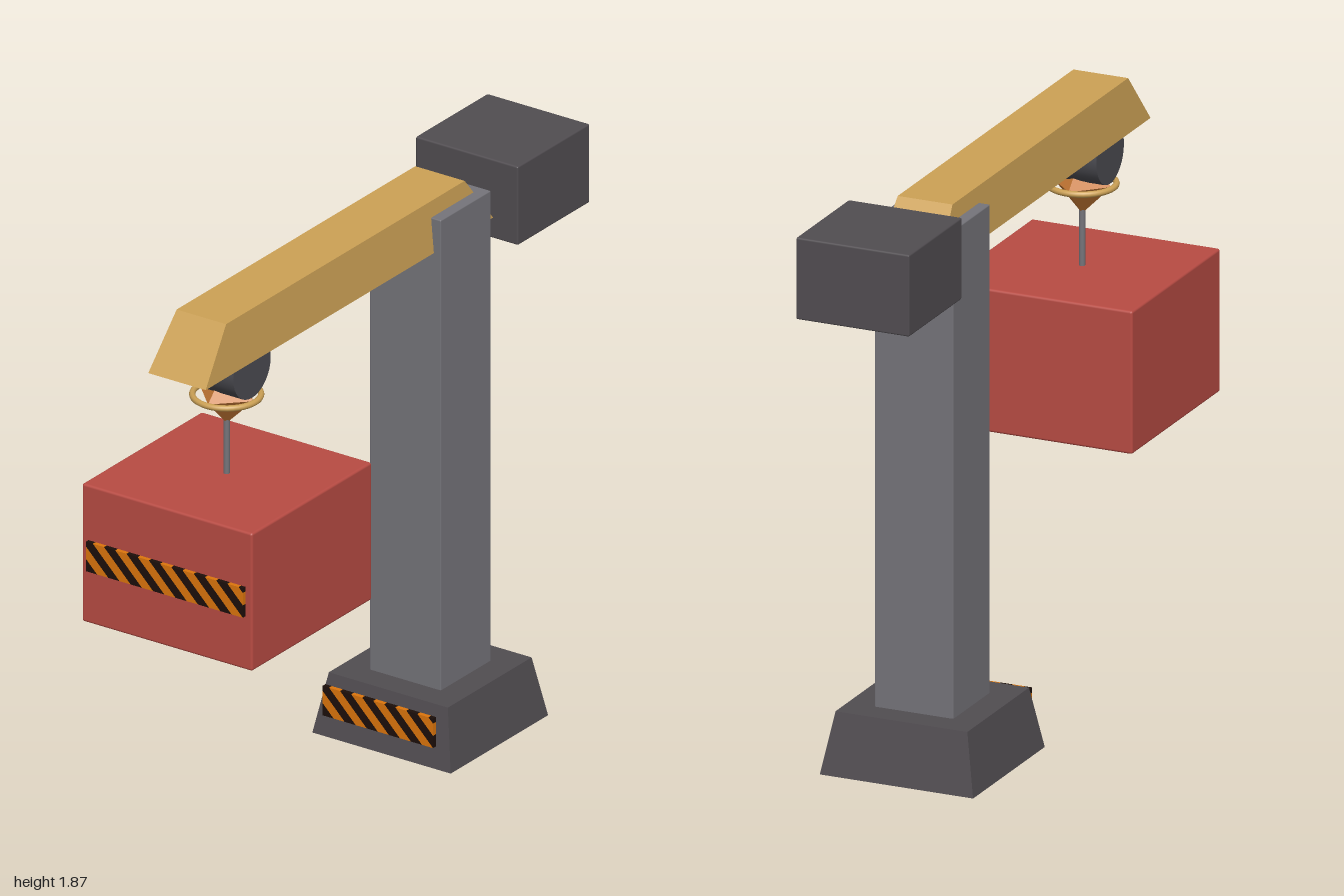
import * as THREE from 'three';
import { RoundedBoxGeometry } from 'three/addons/geometries/RoundedBoxGeometry.js';

const paint = (name, color) => {
  const m = new THREE.MeshStandardMaterial({ color });
  m.name = name;
  return m;
};

// Keeps the part of a polygon where f(point) >= 0
function clip(points, f) {
  const out = [];
  points.forEach((p, i) => {
    const q = points[(i + 1) % points.length];
    const a = f(p), b = f(q);
    if (a >= 0) out.push(p);
    if ((a > 0 && b < 0) || (a < 0 && b > 0)) out.push(p.clone().lerp(q, a / (a - b)));
  });
  return out;
}

// Box whose top is scaled in x and z, standing on y = 0
function taperedBox(w, h, d, topX, topZ) {
  const g = new THREE.BoxGeometry(w, h, d).translate(0, h / 2, 0);
  const p = g.attributes.position;
  for (let i = 0; i < p.count; i++) {
    if (p.getY(i) > h / 2) {
      p.setX(i, p.getX(i) * topX);
      p.setZ(i, p.getZ(i) * topZ);
    }
  }
  g.computeVertexNormals();
  return g;
}

export function createModel() {
  const model = new THREE.Group();
  model.name = 'craneWithLoad';

  const darkMetal = paint('darkMetal', 0x514d51);
  const greyMetal = paint('greyMetal', 0x75747a);
  const boomYellow = paint('boomYellow', 0xcca155);
  const loadRed = paint('loadRed', 0xb84b43);
  const hookOrange = paint('hookOrange', 0xc87a35);
  const wheelGrey = paint('wheelGrey', 0x4b4b51);
  const hazardOrange = paint('hazardOrange', 0xdc750c);
  const hazardBlack = paint('hazardBlack', 0x1c0f0a);

  const add = (name, geometry, material, x, y, z, parent = model) => {
    const mesh = new THREE.Mesh(geometry, material);
    mesh.name = name;
    mesh.position.set(x, y, z);
    parent.add(mesh);
    return mesh;
  };

  // Plate made of alternating slanted stripes
  const hazardPlate = (name, width, height, count, y, z) => {
    const plate = new THREE.Group();
    plate.name = name;
    plate.position.set(-width / 2, y, z);
    model.add(plate);
    const step = width / count / 2;
    const rect = [[0, 0], [width, 0], [width, height], [0, height]].map(([a, b]) => new THREE.Vector2(a, b));
    for (let i = 0; i * step < width + height; i++) {
      const along = (p) => p.x + p.y;
      let poly = clip(rect, (p) => along(p) - i * step);
      poly = clip(poly, (p) => (i + 1) * step - along(p));
      if (poly.length < 3) continue;
      const g = new THREE.ExtrudeGeometry(new THREE.Shape(poly), { depth: 0.015, bevelEnabled: false });
      add('stripe', g, i % 2 ? hazardOrange : hazardBlack, 0, 0, 0, plate);
    }
  };

  // Foot and mast
  add('base', taperedBox(0.52, 0.2, 0.52, 0.86, 0.86), darkMetal, 0, 0, -0.42);
  add('mast', new RoundedBoxGeometry(0.268, 1.61, 0.268, 1, 0.004), greyMetal, 0, 0.988, -0.42);
  hazardPlate('baseHazardPlate', 0.415, 0.1, 5, 0.08, -0.155);

  // Boom and counterweight
  add('boom', taperedBox(0.216, 0.17, 1.535, 0.86, 0.83), boomYellow, 0, 1.676, 0.165);
  add('counterweight', new RoundedBoxGeometry(0.385, 0.267, 0.385, 1, 0.006), darkMetal, 0, 1.732, -0.807);

  // Trolley wheel, hook block and cable
  const hookZ = 0.667;
  add('trolleyWheel', new THREE.CylinderGeometry(0.1, 0.1, 0.19, 32).rotateZ(Math.PI / 2),
    wheelGrey, 0, 1.645, hookZ);
  add('hookBlock', new THREE.OctahedronGeometry(0.1), hookOrange, 0, 1.535, hookZ);
  add('hookRing', new THREE.TorusGeometry(0.106, 0.01, 10, 40).rotateX(Math.PI / 2),
    boomYellow, 0, 1.533, hookZ);
  add('cable', new THREE.CylinderGeometry(0.01, 0.01, 0.23, 12), greyMetal, 0, 1.365, hookZ);

  // Hanging load
  add('load', new RoundedBoxGeometry(0.64, 0.467, 0.64, 2, 0.008), loadRed, 0, 1.032, hookZ - 0.001);
  hazardPlate('loadHazardPlate', 0.59, 0.1, 7, 0.98, 0.985);

  return model;
}
